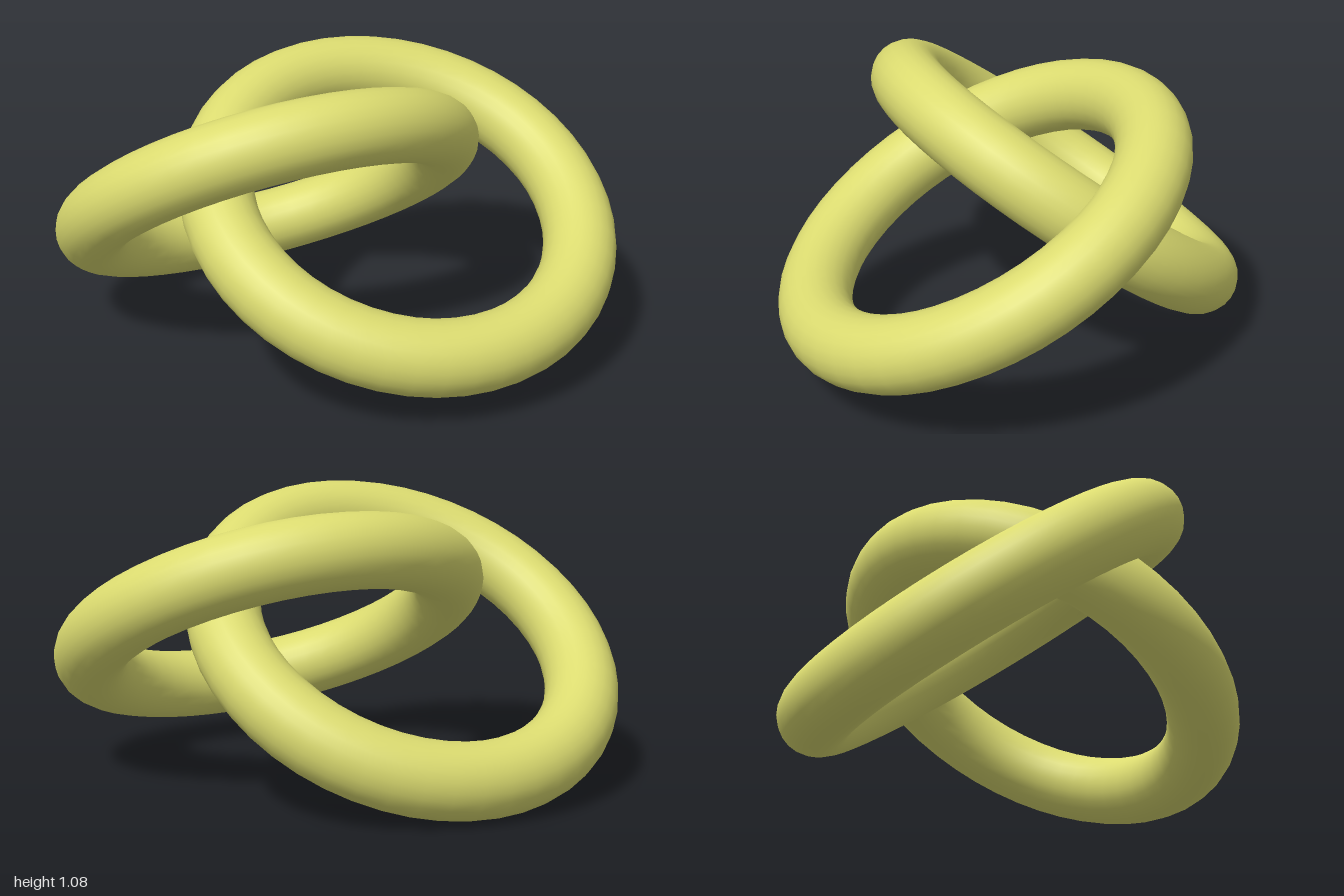
import * as THREE from 'three';

const RING_RADIUS = 0.692;
const TUBE_RADIUS = 0.136;

export function createModel() {
  const model = new THREE.Group();
  model.name = 'interlockedRings';

  const material = new THREE.MeshStandardMaterial({ color: 0xdbdb70 });
  const geometry = new THREE.TorusGeometry(RING_RADIUS, TUBE_RADIUS, 24, 48);

  // Each ring is a torus tipped about the x axis
  const addRing = (name, position, tilt) => {
    const ring = new THREE.Mesh(geometry, material);
    ring.name = name;
    ring.position.set(...position);
    ring.rotation.x = tilt;
    model.add(ring);
  };

  // Two linked rings, one leaning forward and one leaning back
  addRing('rightRing', [-0.172, 0.547, -0.232], 0.942);
  addRing('leftRing', [0.172, 0.571, 0.186], -1.062);

  return model;
}
